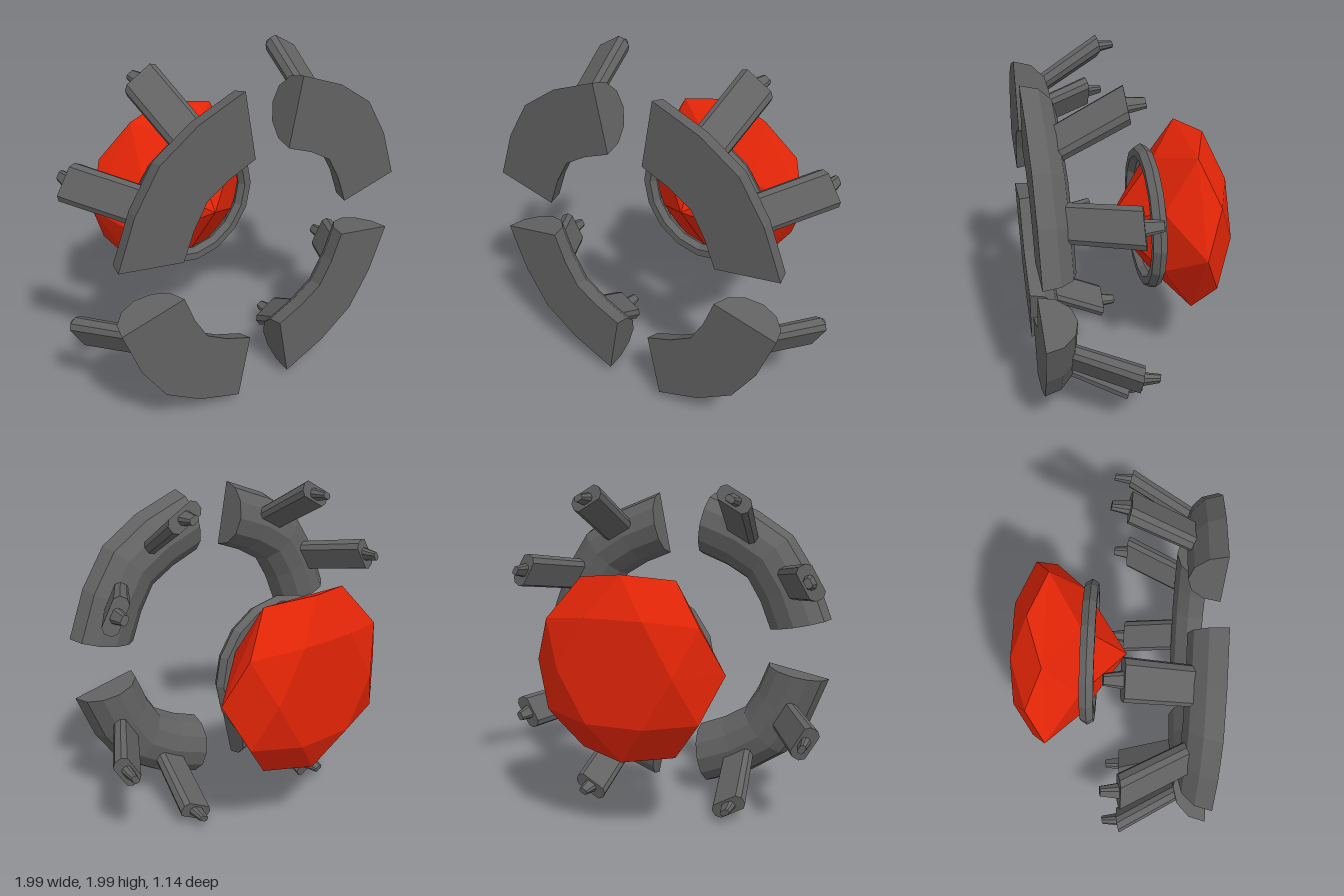
import * as THREE from 'three';
import { ConvexGeometry } from 'three/addons/geometries/ConvexGeometry.js';

const grey = new THREE.MeshStandardMaterial({ color: 0x626262, flatShading: true });
const red = new THREE.MeshStandardMaterial({ color: 0xe32507, flatShading: true });

const V = (x, y, z) => new THREE.Vector3(x, y, z);
const rad = THREE.MathUtils.degToRad;

function part(name, geometry, material, parent) {
  const mesh = new THREE.Mesh(geometry, material);
  mesh.name = name;
  parent.add(mesh);
  return mesh;
}

// Closed solid through a list of convex rings with equal point counts
function loft(rings) {
  const n = rings[0].length, last = (rings.length - 1) * n, index = [];
  for (let i = 0; i < rings.length - 1; i++) {
    for (let j = 0; j < n; j++) {
      const a = i * n + j, b = i * n + (j + 1) % n;
      index.push(a, b, b + n, a, b + n, a + n);
    }
  }
  for (let j = 1; j < n - 1; j++) {
    index.push(0, j + 1, j, last, last + j, last + j + 1);
  }
  const geometry = new THREE.BufferGeometry().setFromPoints(rings.flat());
  geometry.setIndex(index);
  const flat = geometry.toNonIndexed();
  flat.computeVertexNormals();
  return flat;
}

// Six-fold ring of gem corners around the z axis
function corners(radius, z, offset) {
  return Array.from({ length: 6 }, (_, i) => {
    const a = rad(60 * i + offset);
    return V(radius * Math.cos(a), radius * Math.sin(a), z);
  });
}

// Half-round arc segment, flat towards the front: [angle, centre radius]
function arcGeometry() {
  const stations = [[11.25, 0.77], [29, 0.765], [45, 0.783], [61, 0.765], [78.75, 0.77]];
  return loft(stations.map(([angle, radius]) => {
    const a = rad(angle), ring = [];
    for (let t = 90; t <= 270; t += 30) {
      const r = radius + 0.195 * Math.sin(rad(t));
      ring.push(V(r * Math.cos(a), r * Math.sin(a), 0.57 + 0.19 * Math.cos(rad(t))));
    }
    return ring;
  }));
}

// Chamfered rectangle, x radial and y tangential, slightly tilted in z
function prongSection(cx, cy, z, hx, hy) {
  const c = 0.55 * hx;
  return [
    [hx, c - hy], [hx, hy - c], [hx - c, hy], [c - hx, hy],
    [-hx, hy - c], [-hx, c - hy], [c - hx, -hy], [hx - c, -hy],
  ].map(([x, y]) => V(cx + x, cy + y, z + 0.25 * x));
}

// Splayed prong with a wedge-like tip; side is +1 or -1 for the mirrored pair
function createProng(angle, side) {
  const prong = new THREE.Group();
  prong.name = 'prong';
  prong.rotation.z = rad(angle);
  part('prongShaft', loft([
    prongSection(1.025, -0.055 * side, 0.065, 0.047, 0.107),
    prongSection(0.805, 0.01 * side, 0.45, 0.042, 0.103),
  ]), grey, prong);
  part('prongTip', loft([
    prongSection(1.03, -0.052 * side, -0.03, 0.018, 0.028),
    prongSection(1.02, -0.053 * side, 0.08, 0.03, 0.045),
  ]), grey, prong);
  return prong;
}

export function createModel() {
  const emblem = new THREE.Group();
  emblem.name = 'gemEmblem';
  emblem.position.y = 0.995;

  // Faceted gem: table, crown, girdle, pavilion and culet
  part('gem', new ConvexGeometry([
    ...corners(0.34, -0.57, 0),
    ...corners(0.525, -0.47, 30),
    ...corners(0.57, -0.37, 0),
    ...corners(0.38, -0.18, 30),
    V(0, 0, 0.08),
  ]), red, emblem);

  // Collar around the pavilion
  part('collarRing', new THREE.TorusGeometry(0.39, 0.046, 6, 16), grey, emblem).position.z = -0.14;

  // Four arcs, each with a mirrored pair of prongs
  const arc = arcGeometry();
  for (let k = 0; k < 4; k++) {
    const quarter = new THREE.Group();
    quarter.name = 'arcSegment';
    quarter.rotation.z = k * Math.PI / 2;
    part('arc', arc, grey, quarter);
    quarter.add(createProng(30, 1), createProng(60, -1));
    emblem.add(quarter);
  }

  const model = new THREE.Group();
  model.name = 'model';
  model.add(emblem);
  return model;
}
